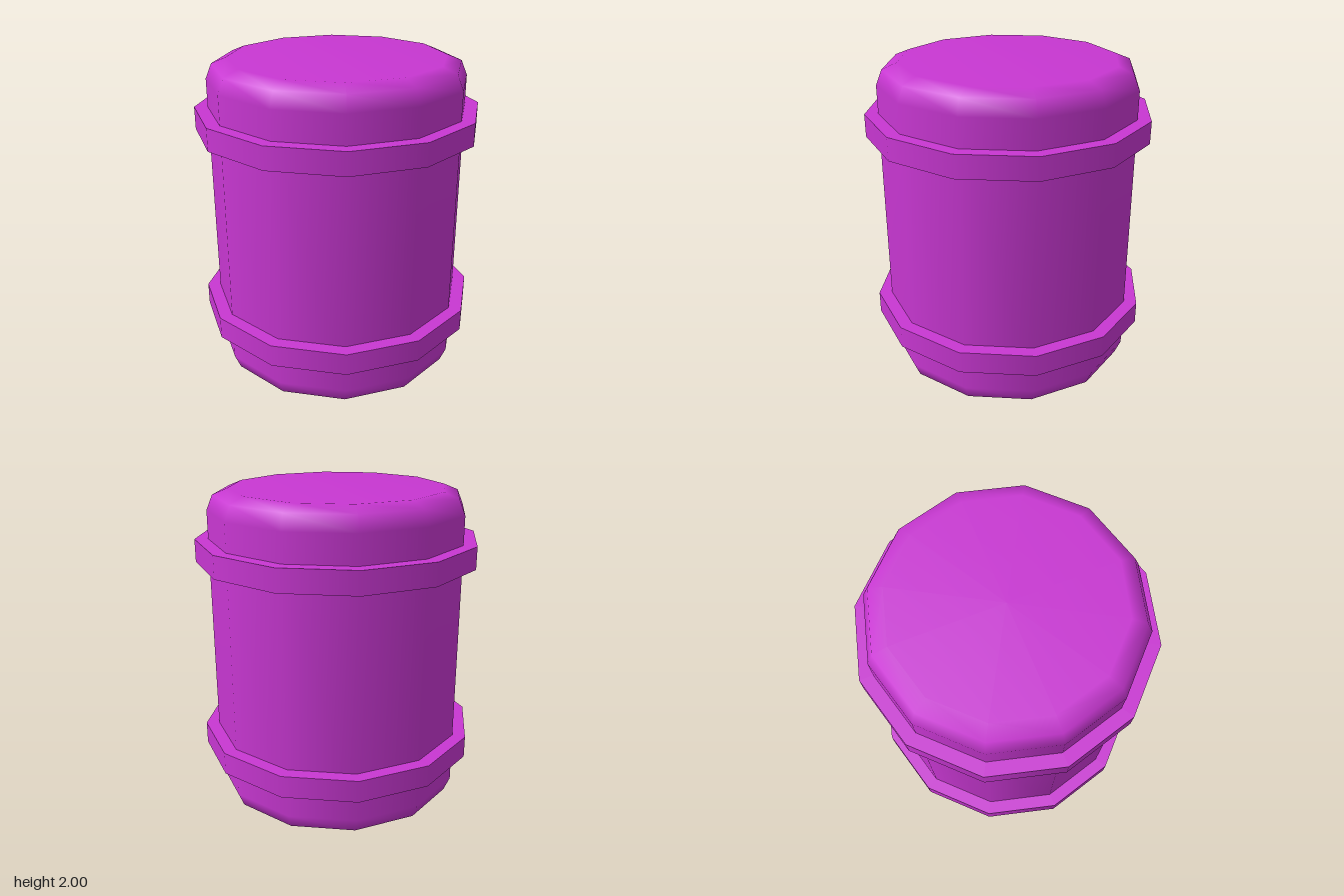
import * as THREE from 'three';

const SIDES = 12;

export function createModel() {
  const group = new THREE.Group();
  const material = new THREE.MeshStandardMaterial({ color: 0xc837d2 });

  // Barrel body: straight wall with rounded rims, mirrored top to bottom
  const lower = [[0, 0], [0.67, 0], [0.762, 0.038], [0.8, 0.13]];
  const upper = lower.map(([r, y]) => [r, 2 - y]).reverse();
  const profile = [...lower, ...upper].map(([r, y]) => new THREE.Vector2(r, y));
  const body = new THREE.Mesh(new THREE.LatheGeometry(profile, SIDES), material);
  body.name = 'barrelBody';
  group.add(body);

  // Two raised hoops around the body
  const hoopGeometry = new THREE.CylinderGeometry(0.883, 0.883, 0.14, SIDES);
  for (const [name, y] of [['lowerHoop', 0.38], ['upperHoop', 1.625]]) {
    const hoop = new THREE.Mesh(hoopGeometry, material);
    hoop.name = name;
    hoop.position.y = y;
    group.add(hoop);
  }

  return group;
}
